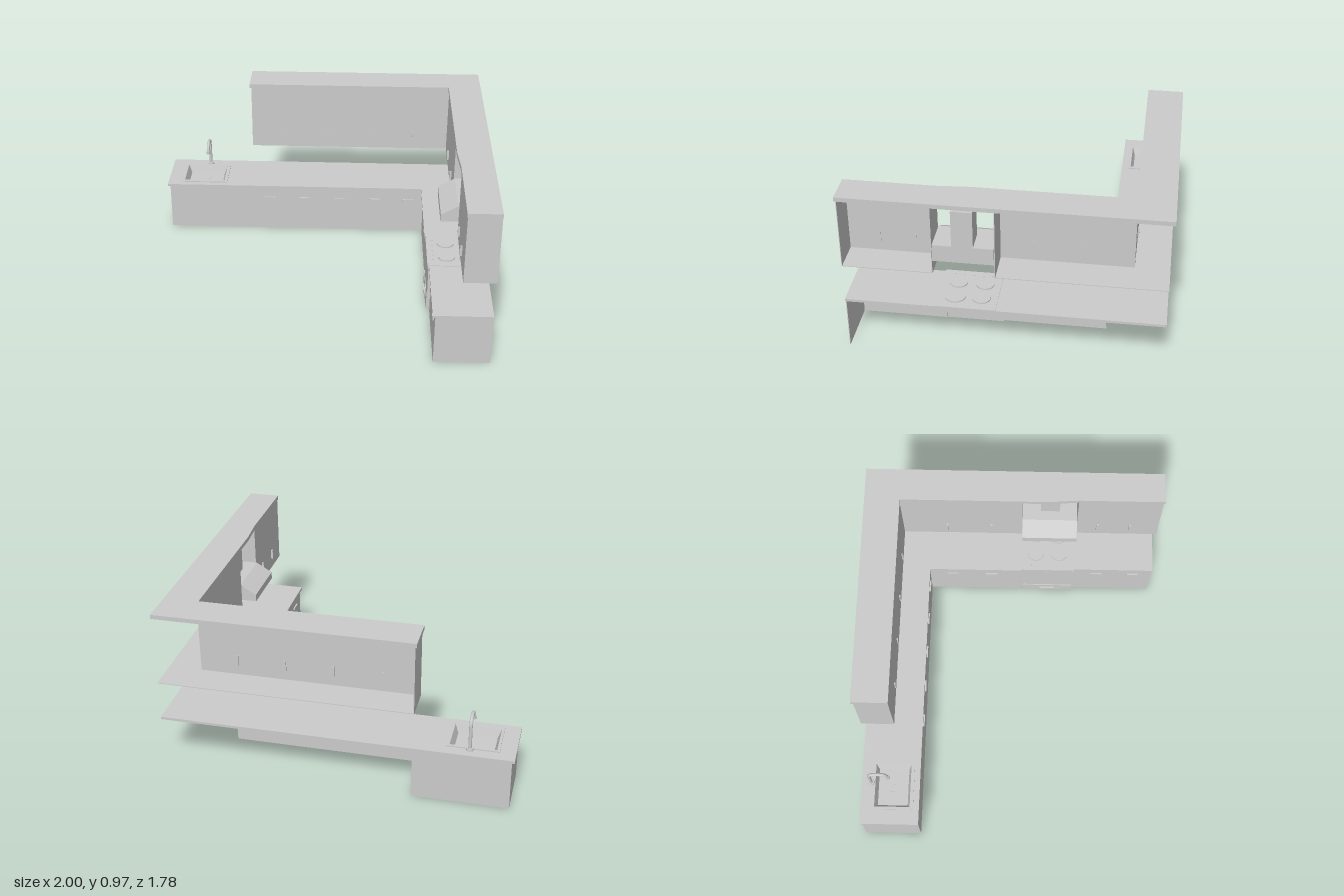
import * as THREE from 'three';

const grey = new THREE.MeshStandardMaterial({ color: 0xcccccc, side: THREE.DoubleSide });
const T = 0.004; // panel thickness

export function createModel() {
  const kitchen = new THREE.Group();
  kitchen.name = 'kitchen';

  const add = (name, geometry, parent = kitchen) => {
    const mesh = new THREE.Mesh(geometry, grey);
    mesh.name = name;
    parent.add(mesh);
    return mesh;
  };
  const group = (name) => {
    const g = new THREE.Group();
    g.name = name;
    kitchen.add(g);
    return g;
  };
  // Box given by its limits on each axis
  const box = (name, x0, x1, y0, y1, z0, z1, parent) => {
    const mesh = add(name, new THREE.BoxGeometry(x1 - x0, y1 - y0, z1 - z0), parent);
    mesh.position.set((x0 + x1) / 2, (y0 + y1) / 2, (z0 + z1) / 2);
    return mesh;
  };
  // Horizontal slab from an outline in x, z, with optional rectangular hole
  const slab = (name, outline, y0, y1, hole, parent) => {
    const points = (list) => list.map(([x, z]) => new THREE.Vector2(x, -z));
    const shape = new THREE.Shape(points(outline));
    if (hole) shape.holes.push(new THREE.Path(points(hole)));
    const geometry = new THREE.ExtrudeGeometry(shape, { depth: y1 - y0, bevelEnabled: false });
    geometry.rotateX(-Math.PI / 2).translate(0, y0, 0);
    return add(name, geometry, parent);
  };
  const rect = (x0, x1, z0, z1) => [[x0, z0], [x1, z0], [x1, z1], [x0, z1]];
  const bowlRim = rect(-0.895, -0.635, -0.805, -0.595);

  // Base cabinets: panels open to the walls and the floor
  const base = group('baseCabinets');
  box('sinkRunFront', -0.985, 0.665, 0, 0.3, -0.545 - T, -0.545, base);
  box('sinkRunEnd', -0.985, -0.985 + T, 0, 0.3, -0.88, -0.545, base);
  box('sinkRunBack', -0.985, -0.44, 0, 0.3, -0.88, -0.88 + T, base);
  box('cookRunFront', 0.665, 0.665 + T, 0, 0.3, -0.549, 0.04, base);
  box('endCabinetFront', 0.68, 0.68 + T, 0, 0.3, 0.375, 0.87, base);
  box('endCabinetSide', 0.68, 1, 0, 0.3, 0.87 - T, 0.87, base);
  for (const x of [-0.33, -0.105, 0.12, 0.345, 0.57])
    box('drawerHandle', x - 0.036, x + 0.036, 0.221, 0.234, -0.555, -0.536, base);
  for (const [x, z] of [[0.665, -0.4], [0.665, -0.15], [0.68, 0.52], [0.68, 0.75]])
    box('drawerHandle', x - 0.009, x + 0.01, 0.221, 0.234, z - 0.036, z + 0.036, base);

  // Worktop, cut out for the sink and interrupted by the range
  slab('worktop', [[-1, -0.885], [1, -0.885], [1, 0.04], [0.65, 0.04], [0.65, -0.54], [-1, -0.54]],
    0.3, 0.315, bowlRim);
  box('endWorktop', 0.665, 1, 0.3, 0.315, 0.375, 0.875);

  // Range: front panels, vent strip, hob, burners and knobs
  const range = group('range');
  box('ovenDoor', 0.662, 0.677, 0.08, 0.285, 0.044, 0.371, range);
  box('warmingDrawer', 0.658, 0.677, 0.004, 0.075, 0.052, 0.366, range);
  box('drawerPull', 0.648, 0.658, 0.035, 0.05, 0.16, 0.255, range);
  box('rangeBacking', 0.677, 0.68, 0, 0.3, 0.04, 0.375, range);
  box('hob', 0.655, 1, 0.302, 0.318, 0.04, 0.375, range);
  for (let i = 0; i < 14; i++) {
    const z = 0.062 + i * 0.0224;
    box('ventRib', 0.66, 0.68, 0.287, 0.302, z - 0.004, z + 0.004, range);
  }
  for (const [x, z, r] of [[0.77, 0.13, 0.05], [0.77, 0.28, 0.05], [0.9, 0.13, 0.05], [0.9, 0.275, 0.057]]) {
    add('burner', new THREE.CylinderGeometry(r, r, 0.007, 32), range).position.set(x, 0.3215, z);
  }
  for (let i = 0; i < 5; i++) {
    add('knob', new THREE.CylinderGeometry(0.005, 0.005, 0.004, 12), range)
      .position.set(0.69, 0.32, 0.1 + i * 0.053);
  }

  // Sink: flat rim, tapering bowl and drain
  const sink = group('sink');
  slab('sinkRim', rect(-0.91, -0.615, -0.82, -0.575), 0.315, 0.321, bowlRim, sink);
  const bowl = new THREE.CylinderGeometry(Math.SQRT1_2, 0.6, 0.051, 4, 1, true);
  bowl.rotateY(Math.PI / 4).scale(0.26, 1, 0.21);
  const bowlMesh = add('sinkBowl', bowl.toNonIndexed(), sink);
  bowlMesh.geometry.computeVertexNormals();
  bowlMesh.position.set(-0.765, 0.2955, -0.7);
  box('sinkFloor', -0.8755, -0.6545, 0.268, 0.271, -0.789, -0.611, sink);
  box('drain', -0.79, -0.745, 0.261, 0.274, -0.735, -0.695, sink);

  // Tap: base, swan neck and nozzle
  const tap = group('tap');
  add('tapBase', new THREE.CylinderGeometry(0.018, 0.02, 0.014, 24), tap).position.set(-0.75, 0.324, -0.83);
  const neck = new THREE.CurvePath();
  const p = (y, z) => new THREE.Vector3(-0.75, y, z);
  neck.add(new THREE.LineCurve3(p(0.315, -0.83), p(0.46, -0.83)));
  neck.add(new THREE.CubicBezierCurve3(p(0.46, -0.83), p(0.495, -0.83), p(0.51, -0.81), p(0.51, -0.785)));
  neck.add(new THREE.LineCurve3(p(0.51, -0.785), p(0.51, -0.765)));
  neck.add(new THREE.CubicBezierCurve3(p(0.51, -0.765), p(0.508, -0.735), p(0.49, -0.725), p(0.455, -0.72)));
  add('tapNeck', new THREE.TubeGeometry(neck, 48, 0.0095, 14), tap);
  add('nozzle', new THREE.CylinderGeometry(0.013, 0.013, 0.02, 20), tap).position.set(-0.75, 0.46, -0.72);

  // Wall cabinets: fronts, ends and floors, open to the walls
  const wall = group('wallCabinets');
  const Y0 = 0.535, Y1 = 0.945;
  box('backRunFront', -0.45, 0.805, Y0, Y1, -0.69 - T, -0.69, wall);
  box('backRunEnd', -0.45, -0.45 + T, Y0, Y1, -0.885, -0.69, wall);
  box('sideRunFront', 0.805, 0.805 + T, Y0, Y1, -0.694, 0.04, wall);
  box('sideRunEnd', 0.805, 1, Y0, Y1, 0.04 - T, 0.04, wall);
  slab('cornerFloor', [[-0.45, -0.885], [1, -0.885], [1, 0.04], [0.805, 0.04], [0.805, -0.69], [-0.45, -0.69]],
    Y0, Y0 + T, null, wall);
  box('endUnitFront', 0.817, 0.817 + T, Y0, Y1, 0.375, 0.875, wall);
  box('endUnitInnerSide', 0.817, 1, Y0, Y1, 0.375, 0.375 + T, wall);
  box('endUnitOuterSide', 0.817, 1, Y0, Y1, 0.875 - T, 0.875, wall);
  box('endUnitFloor', 0.817, 1, Y0, Y0 + T, 0.375, 0.875, wall);
  for (const x of [-0.24, 0.04, 0.315, 0.59])
    box('doorHandle', x - 0.006, x + 0.006, 0.598, 0.658, -0.702, -0.683, wall);
  for (const [x, z] of [[0.805, -0.42], [0.805, -0.15], [0.817, 0.5], [0.817, 0.7]])
    box('doorHandle', x - 0.012, x + 0.007, 0.598, 0.658, z - 0.006, z + 0.006, wall);

  // Cornice covering all wall cabinets
  slab('cornice', [[-0.46, -0.895], [1, -0.895], [1, 0.885], [0.813, 0.885], [0.813, 0.375],
    [0.8, 0.2], [0.8, -0.685], [-0.46, -0.685]], 0.945, 0.97);

  // Cooker hood with a sloped front, and its duct
  const hood = group('cookerHood');
  const side = new THREE.Shape([[0.715, 0.617], [1, 0.617], [1, 0.717], [0.81, 0.717], [0.715, 0.66]]
    .map(([x, y]) => new THREE.Vector2(x, y)));
  add('hoodBody', new THREE.ExtrudeGeometry(side, { depth: 0.331, bevelEnabled: false }), hood)
    .position.z = 0.042;
  box('hoodDuct', 0.87, 1, 0.717, 0.935, 0.152, 0.268, hood);

  return kitchen;
}
